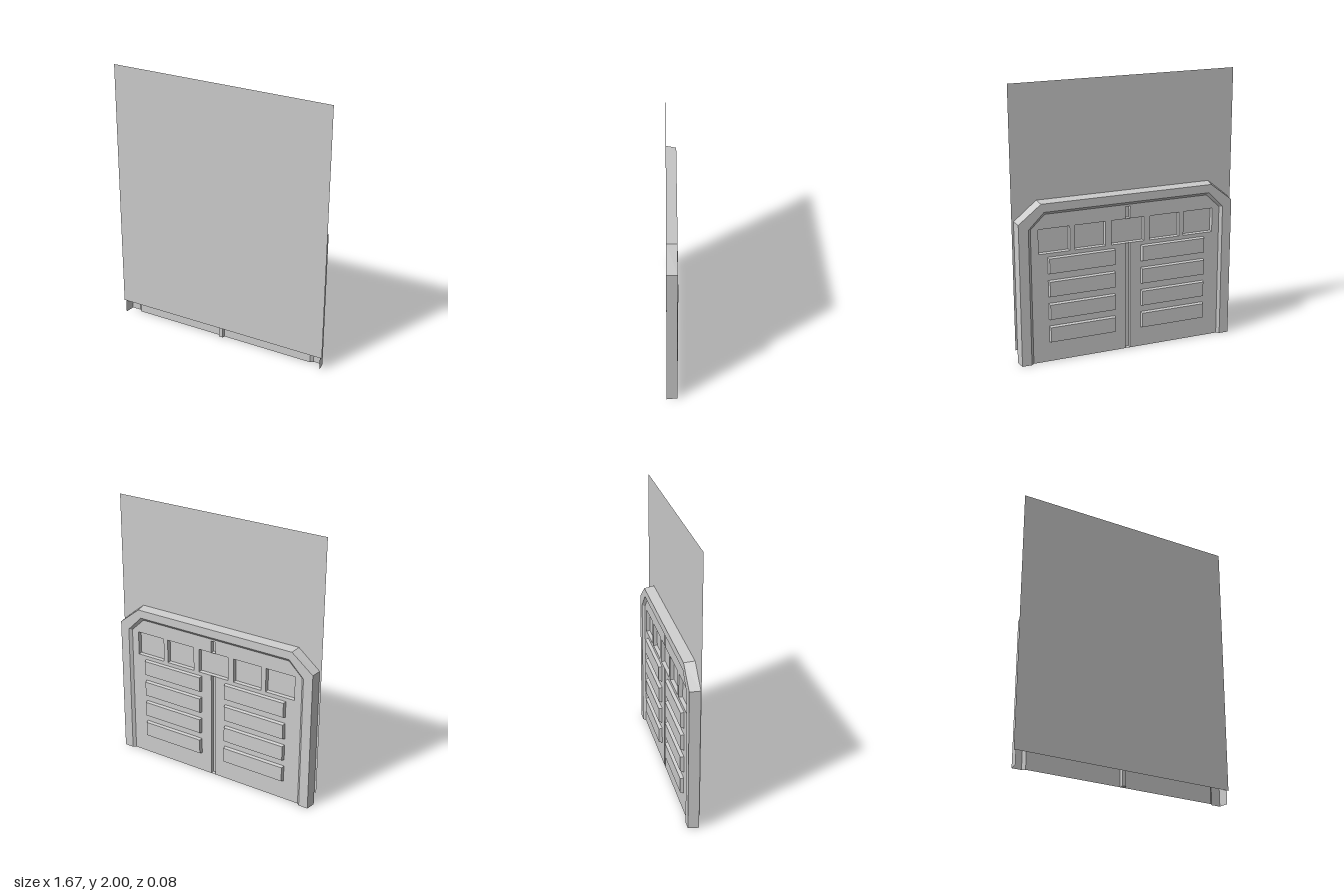
import * as THREE from 'three';

const FRONT = 0.04, RIM = -0.035, DOOR = -0.017;

export function createModel() {
  const model = new THREE.Group();
  const material = new THREE.MeshStandardMaterial({
    color: 0xcccccc, flatShading: true, side: THREE.DoubleSide,
  });

  const add = (name, geometry, parent = model) => {
    const mesh = new THREE.Mesh(geometry, material);
    mesh.name = name;
    parent.add(mesh);
    return mesh;
  };

  // Skin between successive rows of points, all rows equally long
  const loft = (rows, capLast = false) => {
    const pos = [];
    const tri = (a, b, c) => pos.push(...a, ...b, ...c);
    for (let r = 0; r < rows.length - 1; r++) {
      const p = rows[r], q = rows[r + 1];
      for (let i = 0; i < p.length - 1; i++) {
        tri(p[i], p[i + 1], q[i + 1]);
        tri(p[i], q[i + 1], q[i]);
      }
    }
    if (capLast) {
      const e = rows[rows.length - 1];
      tri(e[0], e[1], e[2]);
      tri(e[0], e[2], e[3]);
    }
    const g = new THREE.BufferGeometry();
    g.setAttribute('position', new THREE.Float32BufferAttribute(pos, 3));
    g.computeVertexNormals();
    return g;
  };

  // Clipped-corner arch: half width, shoulder height, half top width, top height
  const arch = (w, h, t, top, z) => [
    [w, 0, z], [w, h, z], [t, top, z], [-t, top, z], [-w, h, z], [-w, 0, z],
  ].reverse();

  // Rectangular raised panel or sunken pocket with sloped walls
  const tray = (x0, x1, y0, y1, depthZ, inset) => {
    const ring = (d, z) => [
      [x0 + d, y0 + d, z], [x0 + d, y1 - d, z], [x1 - d, y1 - d, z],
      [x1 - d, y0 + d, z], [x0 + d, y0 + d, z],
    ];
    return loft([ring(0, DOOR), ring(inset, depthZ)], true);
  };

  // Flat sheet standing in front of the door
  const sheet = add('frontSheet', new THREE.PlaneGeometry(1.67, 1.9));
  sheet.position.set(0, 1.05, FRONT);

  // Door surround: outer sides, back rim and bevel down to the door
  add('doorFrame', loft([
    arch(0.82, 1.05, 0.655, 1.185, FRONT),
    arch(0.81, 1.045, 0.645, 1.175, RIM),
    arch(0.74, 1.0, 0.625, 1.115, RIM),
    arch(0.72, 0.995, 0.615, 1.095, DOOR),
  ]));

  // Door face, notched for the centre seam and the middle window
  const seam = 0.0185, seamTop = 1.08, winLow = 0.81, winHigh = 0.99, mid = 0.125;
  const half = [
    [seam, seamTop], [seam, winHigh], [mid, winHigh], [mid, winLow], [seam, winLow], [seam, 0],
    [0.72, 0], [0.72, 0.995], [0.615, 1.095],
  ];
  const outline = [...half, ...half.map(([x, y]) => [-x, y]).reverse()];
  const face = new THREE.Shape(outline.map(([x, y]) => new THREE.Vector2(x, y)));
  const windows = [[-0.665, -0.435], [-0.4, -0.17], [-mid, mid], [0.17, 0.4], [0.435, 0.665]];
  for (const [a, b] of windows) {
    if (a === -mid) continue;
    face.holes.push(new THREE.Path([[a, winLow], [a, winHigh], [b, winHigh], [b, winLow]]
      .map(([x, y]) => new THREE.Vector2(x, y))));
  }
  const faceGeometry = new THREE.ShapeGeometry(face);
  faceGeometry.rotateY(Math.PI); // symmetric, so turning it only flips it to the back
  add('doorFace', faceGeometry).position.z = DOOR;

  // Sunken windows
  const windowRow = new THREE.Group();
  windowRow.name = 'windows';
  model.add(windowRow);
  for (const [a, b] of windows) add('window', tray(a, b, winLow, winHigh, 0.01, 0.004), windowRow);

  // Seam between the two leaves, below and above the middle window
  add('lowerSeam', tray(-seam, seam, 0, winLow, 0.008, 0.004));
  add('upperSeam', tray(-seam, seam, winHigh, seamTop, 0.008, 0.004));

  // Raised panels, four on each leaf
  const panels = new THREE.Group();
  panels.name = 'raisedPanels';
  model.add(panels);
  for (const x of [-0.6, 0.1]) {
    for (let i = 0; i < 4; i++) {
      const y = 0.147 + i * 0.171;
      add('raisedPanel', tray(x, x + 0.5, y, y + 0.122, -0.041, 0.006), panels);
    }
  }

  return model;
}
